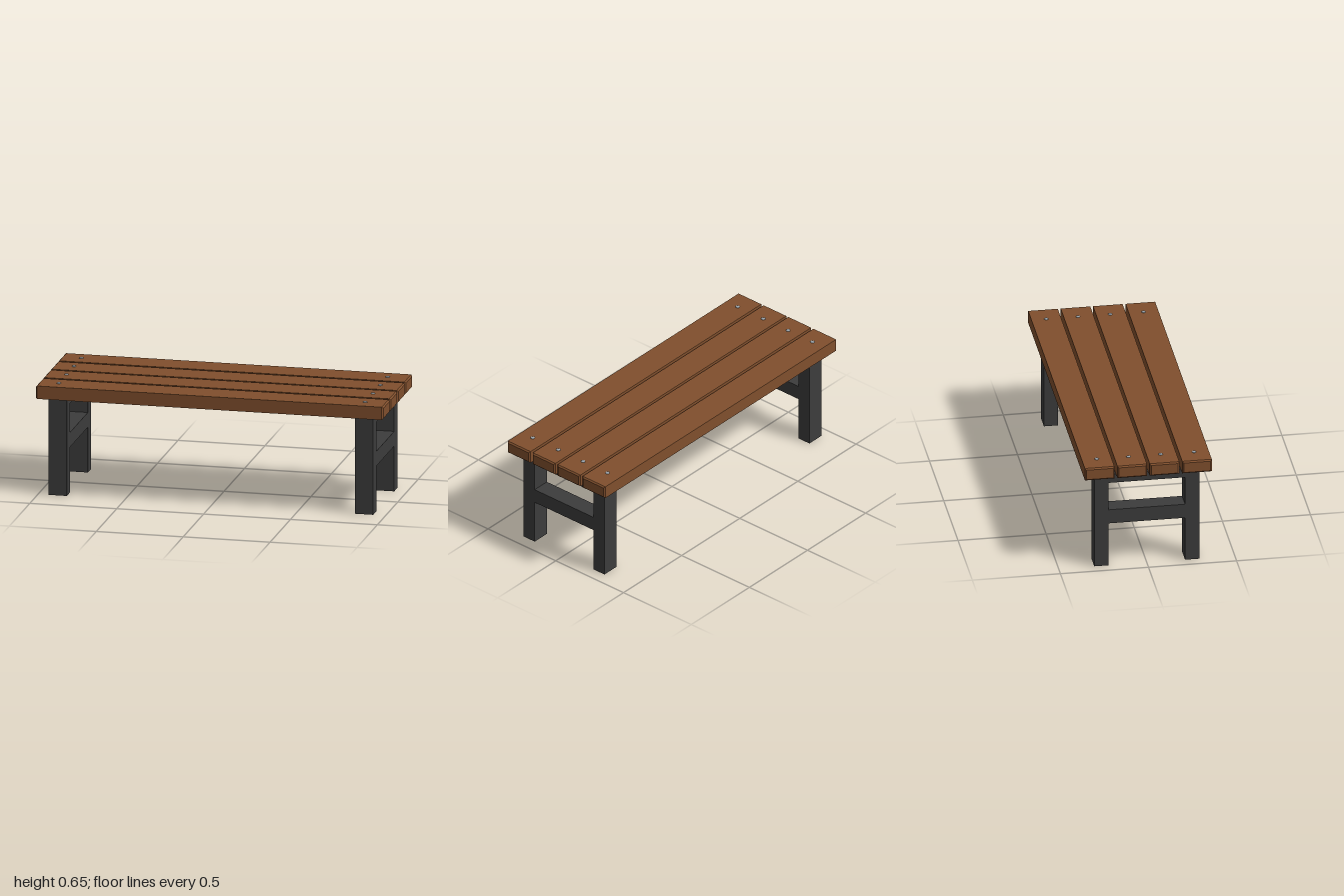
import * as THREE from 'three';

const material = (name, color) => {
  const m = new THREE.MeshStandardMaterial({ color });
  m.name = name;
  return m;
};

// Extrudes a shape drawn in (-z, y) along x, centred on the given x
function extrudeAlongX(shape, length, x, bevel) {
  const g = new THREE.ExtrudeGeometry(shape, {
    depth: length - 2 * bevel,
    bevelEnabled: bevel > 0,
    bevelThickness: bevel,
    bevelSize: bevel,
    bevelOffset: -bevel,
    bevelSegments: 1,
  });
  g.translate(0, 0, -(length - 2 * bevel) / 2);
  g.rotateY(Math.PI / 2);
  g.translate(x, 0, 0);
  return g;
}

const polygon = (points) => new THREE.Shape(points.map(([a, b]) => new THREE.Vector2(a, b)));

const rectangle = (a0, b0, a1, b1) => polygon([[a0, b0], [a1, b0], [a1, b1], [a0, b1]]);

export function createModel() {
  const model = new THREE.Group();
  model.name = 'bench';
  const wood = material('brown wood', 0x804f2d);
  const iron = material('dark iron', 0x3c3c3c);
  const steel = material('bolt steel', 0x9aa3aa);

  const add = (name, geometry, mat) => {
    const mesh = new THREE.Mesh(geometry, mat);
    mesh.name = name;
    model.add(mesh);
    return mesh;
  };

  const seatBottom = 0.57, seatTop = 0.645;
  const frameX = [-0.887, 0.876];

  // Seat planks with chamfered ends
  [0.2765, 0.092, -0.0915, -0.276].forEach((z) => {
    const plank = rectangle(-z - 0.0838, seatBottom, -z + 0.0838, seatTop);
    add('seatPlank', extrudeAlongX(plank, 2, 0, 0.008), wood);
  });

  // End frames: two legs, a top rail and a middle rail
  const outer = 0.298, inner = 0.217;
  const frame = polygon([
    [-outer, 0], [-inner, 0], [-inner, 0.263], [inner, 0.263],
    [inner, 0], [outer, 0], [outer, seatBottom], [-outer, seatBottom],
  ]);
  frame.holes.push(rectangle(-inner, 0.348, inner, 0.517));
  frameX.forEach((x) => add('legFrame', extrudeAlongX(frame, 0.105, x, 0), iron));

  // Domed bolt heads above each frame
  const dome = new THREE.SphereGeometry(0.0125, 12, 4, 0, Math.PI * 2, 0, Math.PI / 2);
  dome.scale(1, 0.5, 1);
  frameX.forEach((x) => {
    [0.276, 0.087, -0.096, -0.276].forEach((z) => {
      add('boltHead', dome, steel).position.set(x + 0.001, seatTop, z);
    });
  });

  return model;
}
